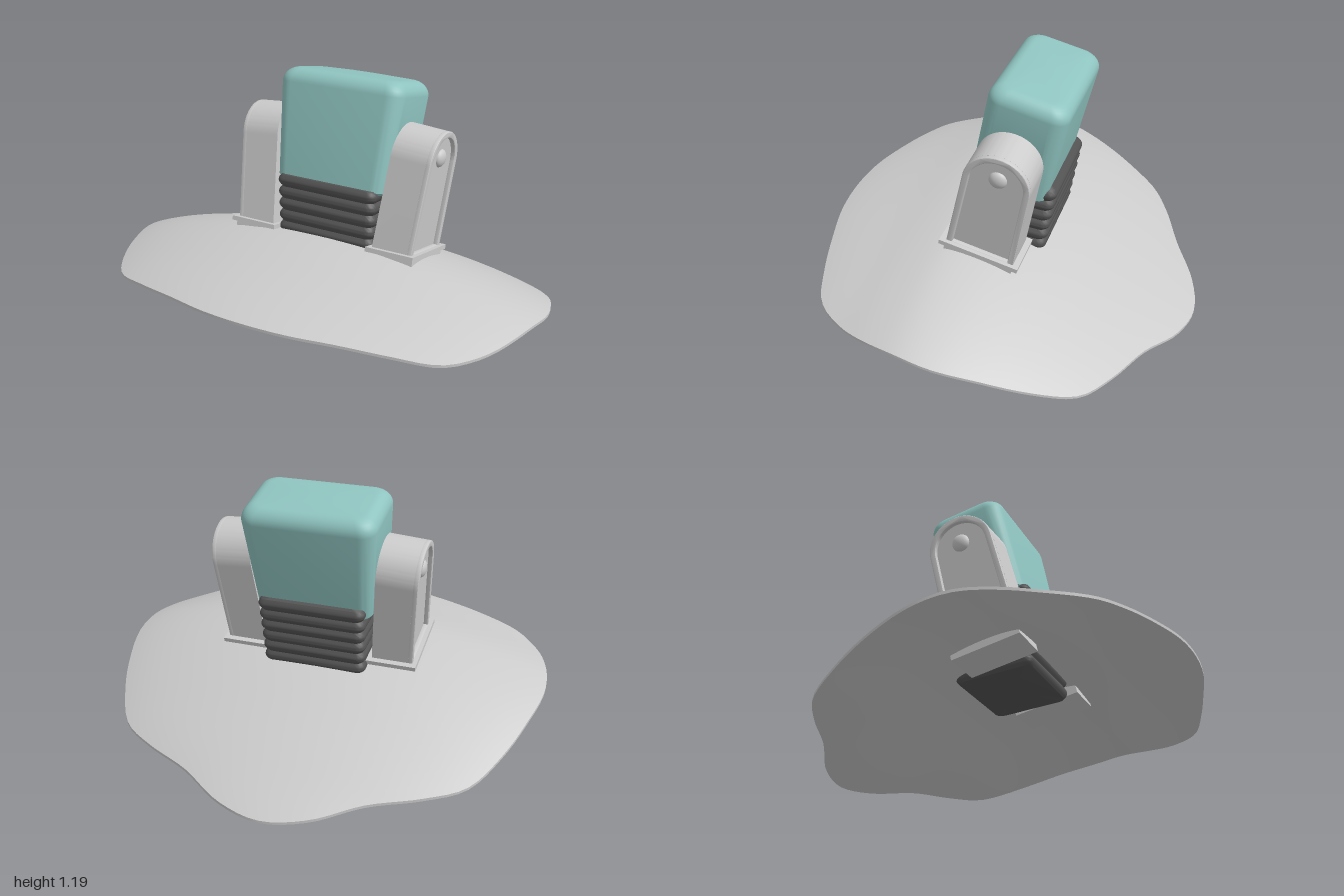
import * as THREE from 'three';
import { toCreasedNormals } from 'three/addons/utils/BufferGeometryUtils.js';

const grey = new THREE.MeshStandardMaterial({ color: 0xcccccc });
const teal = new THREE.MeshStandardMaterial({ color: 0x8fc4c0 });
const dark = new THREE.MeshStandardMaterial({ color: 0x555555 });

function add(parent, name, geometry, material, x = 0, y = 0, z = 0) {
  const mesh = new THREE.Mesh(geometry, material);
  mesh.name = name;
  mesh.position.set(x, y, z);
  parent.add(mesh);
  return mesh;
}

// Joins rows of equally many points into a closed skin; first and last rows are single spots.
function skin(rows, crease) {
  const n = rows[0].length, pos = [], index = [];
  rows.forEach(row => row.forEach(p => pos.push(...p)));
  for (let i = 0; i < rows.length - 1; i++) {
    for (let j = 0; j < n; j++) {
      const a = i * n + j, b = i * n + (j + 1) % n;
      if (i > 0) index.push(a, b + n, b);
      if (i < rows.length - 2) index.push(a, a + n, b + n);
      else if (i === 0) index.push(a, a + n, b + n);
    }
  }
  const g = new THREE.BufferGeometry();
  g.setAttribute('position', new THREE.Float32BufferAttribute(pos, 3));
  g.setIndex(index);
  return toCreasedNormals(g, crease);
}

// Rounded rectangle ring at height y, counter-clockwise seen from above.
function roundedRing(y, hx, hz, r) {
  const pts = [], steps = 8;
  for (let q = 0; q < 4; q++) {
    const sx = q === 0 || q === 3 ? 1 : -1, sz = q < 2 ? 1 : -1;
    for (let i = 0; i <= steps; i++) {
      const a = (q + i / steps) * Math.PI / 2;
      pts.push([sx * (hx - r) + r * Math.cos(a), y, sz * (hz - r) + r * Math.sin(a)]);
    }
  }
  return pts;
}

// Stack of rounded rectangles from top to bottom, with end caps.
function stack(rings, crease) {
  const rows = rings.map(r => roundedRing(...r));
  const spot = row => row.map(() => [0, row[0][1], 0]);
  return skin([spot(rows[0]), ...rows, spot(rows[rows.length - 1])].reverse(), crease);
}

// Saddle-shaped base plate: centre line profile, sideways droop, outline in plan
function plateGeometry() {
  const v3 = (x, z) => new THREE.Vector3(x, 0, z);
  const half = [[0.2, -0.795], [0.4, -0.685], [0.62, -0.59], [0.78, -0.49], [0.88, -0.33], [0.95, -0.15],
    [1, 0.09], [0.95, 0.36], [0.87, 0.53], [0.77, 0.645], [0.6, 0.715], [0.39, 0.775], [0.2, 0.82]];
  const outline = [v3(0, -0.84), ...half.map(p => v3(...p)), v3(0, 0.835),
    ...half.slice().reverse().map(p => v3(-p[0], p[1]))];
  const rim = new THREE.CatmullRomCurve3(outline, true).getSpacedPoints(120).slice(0, 120);
  const profile = new THREE.SplineCurve([[-0.84, 0.022], [-0.7, 0.1], [-0.55, 0.187], [-0.4, 0.27], [-0.25, 0.35],
    [-0.1, 0.418], [0.05, 0.467], [0.2, 0.49], [0.35, 0.475], [0.5, 0.445], [0.65, 0.418], [0.84, 0.385]]
    .map(p => new THREE.Vector2(...p))).getPoints(300);
  const height = z => {
    let i = profile.findIndex(p => p.x >= z);
    if (i < 0) i = profile.length - 1;
    if (i === 0) return profile[0].y;
    const a = profile[i - 1], b = profile[i];
    return a.y + (b.y - a.y) * Math.min(1, (z - a.x) / (b.x - a.x));
  };
  const row = (s, under) => rim.map(p => {
    const x = p.x * s, z = p.z * s;
    const thick = under ? 0.012 + 0.04 * (1 - s ** 6) : 0;
    return [x, height(z) - 0.155 * x * x - 0.01 * s ** 10 - thick, z];
  });
  const steps = [0, 0.06, 0.12, 0.2, 0.28, 0.36, 0.44, 0.52, 0.6, 0.68, 0.76, 0.83, 0.89, 0.94, 0.98, 1];
  const rows = [...steps.map(s => row(s, false)), ...steps.slice().reverse().map(s => row(s, true))];
  // The outline runs clockwise from above, so order rows to face outward
  const area = rim.reduce((sum, p, i) => {
    const q = rim[(i + 1) % rim.length];
    return sum + p.x * q.z - q.x * p.z;
  }, 0);
  return skin(area > 0 ? rows.reverse() : rows, 0.9);
}

// Tapered arch outline of the side brackets
function arch(Type, halfWidth, bottom, radius) {
  const s = new Type();
  s.moveTo(-halfWidth, bottom);
  s.lineTo(halfWidth, bottom);
  s.lineTo(radius, 0.41);
  s.absarc(0, 0.41, radius, 0, Math.PI, false);
  s.closePath();
  return s;
}

function extrudeAlongX(shape, depth, bevel) {
  const g = new THREE.ExtrudeGeometry(shape, { depth, curveSegments: 28, bevelEnabled: bevel > 0,
    bevelSize: bevel, bevelThickness: bevel, bevelOffset: -bevel, bevelSegments: 3 });
  return toCreasedNormals(g.rotateY(Math.PI / 2), 0.5);
}

function bracket(name) {
  const side = new THREE.Group();
  side.name = name;
  // Foot passing through the plate, with a thin flange on it
  add(side, 'foot', new THREE.BoxGeometry(0.2, 0.1, 0.31), grey, 0.345, -0.05, 0);
  add(side, 'footFlange', new THREE.BoxGeometry(0.225, 0.02, 0.36), grey, 0.343, 0.004, 0);
  // Arched upright leaning outward
  const upright = new THREE.Group();
  upright.name = 'upright';
  upright.position.set(0.25, 0, 0);
  upright.rotation.z = -0.075;
  side.add(upright);
  add(upright, 'archBody', extrudeAlongX(arch(THREE.Shape, 0.155, -0.01, 0.145), 0.165, 0), grey);
  const frame = arch(THREE.Shape, 0.155, -0.01, 0.145);
  frame.holes.push(arch(THREE.Path, 0.127, 0.03, 0.117));
  add(upright, 'raisedFrame', extrudeAlongX(frame, 0.014, 0.005), grey, 0.166);
  const pin = add(upright, 'pivotPin', new THREE.SphereGeometry(0.04, 24, 16), grey, 0.163, 0.435, 0);
  pin.scale.x = 0.6;
  return side;
}

export function createModel() {
  const model = new THREE.Group();
  model.name = 'pivotFoot';
  add(model, 'basePlate', plateGeometry(), grey);

  // Rubber bellows, widening upward
  const folds = 7, steps = folds * 8, rings = [];
  for (let i = 0; i <= steps; i++) {
    const t = i / steps, wave = 0.012 * (Math.abs(Math.sin(t * folds * Math.PI)) - 1);
    rings.push([0.385 * t, 0.235 + 0.01 * t + wave, 0.18 + 0.027 * t + wave, 0.035]);
  }
  const bellows = add(model, 'bellows', stack(rings.reverse(), 0.9), dark, 0, 0.335, 0.015);
  bellows.rotation.x = -0.1;

  // Backward-leaning ankle assembly
  const ankle = new THREE.Group();
  ankle.name = 'ankle';
  ankle.position.set(0, 0.455, 0.055);
  ankle.rotation.x = -0.23;
  model.add(ankle);

  // Block with a soft crowned top
  const block = [[0.732, 0.1, 0.06, 0.05]];
  for (let i = 0; i <= 8; i++) {
    const a = i / 8 * Math.PI / 2, inset = 0.065 * (1 - Math.sin(a));
    block.push([0.66 + 0.065 * Math.cos(a), 0.3 - inset, 0.177 - inset, 0.07 - inset * 0.4]);
  }
  block.push([0.245, 0.264, 0.174, 0.055], [0.235, 0.256, 0.166, 0.05]);
  add(ankle, 'ankleBlock', stack(block, 0.6), teal, 0, 0, -0.012);

  const left = bracket('leftBracket');
  const right = bracket('rightBracket');
  right.rotation.y = Math.PI;
  ankle.add(left, right);
  return model;
}
